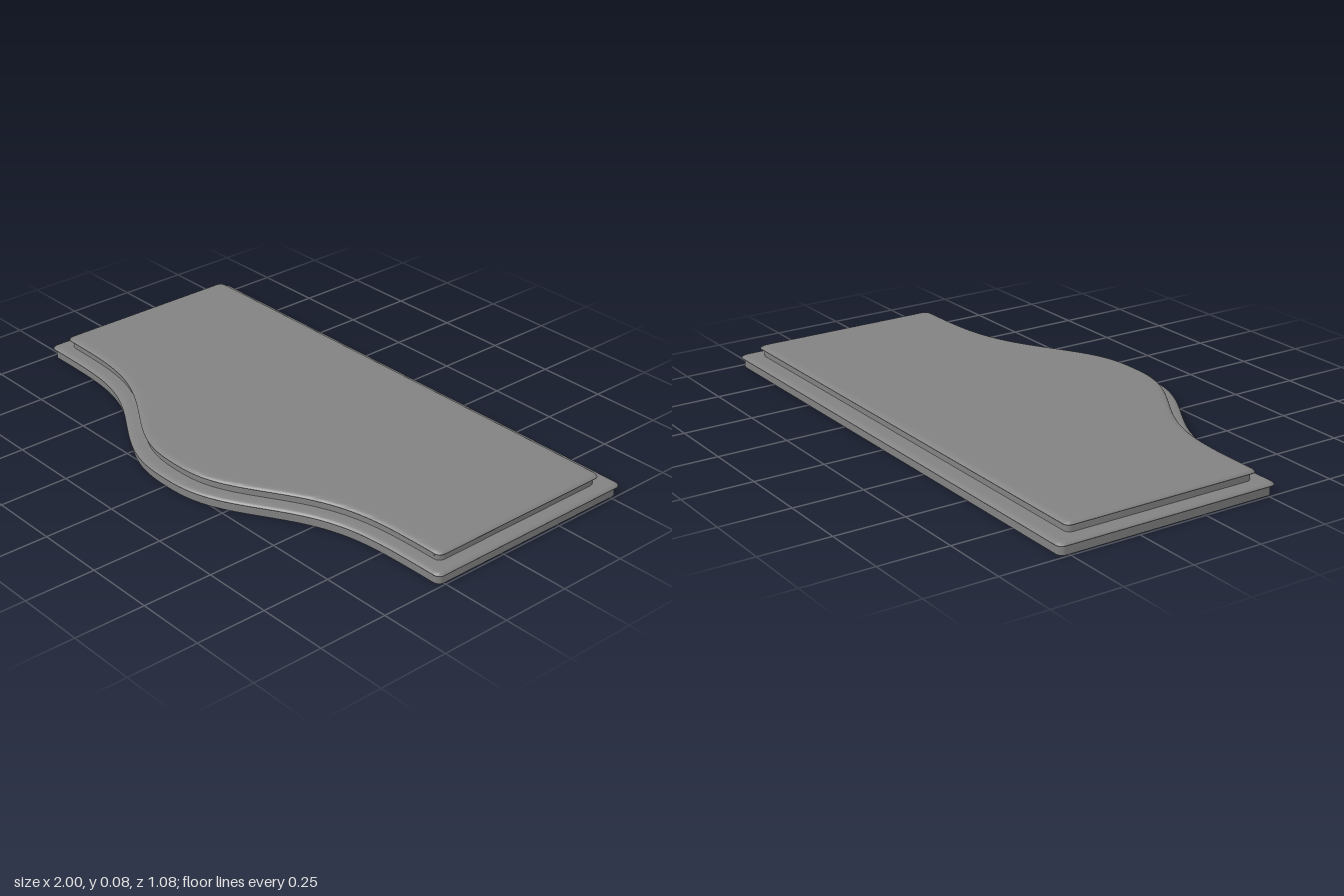
import * as THREE from 'three';
import { toCreasedNormals } from 'three/addons/utils/BufferGeometryUtils.js';

const material = new THREE.MeshStandardMaterial({ color: 0x828282, side: THREE.DoubleSide });

// Bell-shaped bow of the front edge
const bow = x => 0.28 + 0.26 * Math.exp(-Math.pow(Math.abs(x) / 0.432, 2.55));

// Plan outline [x, z], moved inwards by inset (and by backInset more at the rear)
function outline(inset, backInset) {
  const r = 0.022, w = 1 - inset, back = -0.54 + inset + backInset;
  const points = [], steps = 80, e = 0.001;
  for (let i = 0; i <= steps; i++) {
    const x = (w - r) * (2 * i / steps - 1);
    const slope = (bow(x + e) - bow(x - e)) / (2 * e);
    const n = Math.hypot(slope, 1);
    points.push([x + inset * slope / n, bow(x) - inset / n]);
  }
  const corner = (cx, cz, start) => {
    for (let i = 0; i <= 5; i++) {
      const a = start - i / 5 * Math.PI / 2;
      points.push([cx + r * Math.cos(a), cz + r * Math.sin(a)]);
    }
  };
  const front = 0.28 - inset;
  corner(w - r, front - r, Math.PI / 2);
  corner(w - r, back + r, 0);
  corner(-w + r, back + r, -Math.PI / 2);
  corner(-w + r, front - r, Math.PI);
  return points;
}

// Shell swept round the outline; profile entries are [inset, y]
function shell(name, profile, backInset, capped) {
  const rings = profile.map(([inset, y]) =>
    outline(inset, backInset).map(([x, z]) => [x, y, z]));
  const n = rings[0].length, top = rings.length - 1, index = [];
  for (let k = 0; k < top; k++) {
    for (let i = 0; i < n; i++) {
      const j = (i + 1) % n, a = k * n + i, b = k * n + j;
      index.push(a, b, b + n, a, b + n, a + n);
    }
  }
  if (capped) {
    for (const k of [0, top]) {
      const contour = rings[k].map(([x, , z]) => new THREE.Vector2(x, -z));
      for (const [a, b, c] of THREE.ShapeUtils.triangulateShape(contour, []))
        index.push(k * n + a, k * n + (k ? b : c), k * n + (k ? c : b));
    }
  }
  const geometry = new THREE.BufferGeometry();
  geometry.setAttribute('position', new THREE.Float32BufferAttribute(rings.flat(2), 3));
  geometry.setIndex(index);
  const mesh = new THREE.Mesh(toCreasedNormals(geometry, 0.6), material);
  mesh.name = name;
  return mesh;
}

// Closed slab with an overhanging edge that is rounded on top
const slab = (inset, y) => [
  [inset + 0.01, y], [inset, y], [inset, y + 0.002],
  [inset + 0.003, y + 0.006], [inset + 0.009, y + 0.0095],
  [inset + 0.017, y + 0.011], [inset + 0.03, y + 0.011],
];

export function createModel() {
  const group = new THREE.Group();
  group.name = 'bowedDoorsteps';

  // Each step is an open riser wall under a full tread slab
  const steps = [
    { name: 'lower', inset: 0, back: 0, bottom: 0, tread: 0.032, overhang: 0.008 },
    { name: 'upper', inset: 0.043, back: 0.013, bottom: 0.043, tread: 0.069, overhang: 0.01 },
  ];
  for (const { name, inset, back, bottom, tread, overhang } of steps) {
    const wall = inset + overhang;
    group.add(shell(name + 'Riser', [[wall, bottom], [wall, tread]], back, false));
    group.add(shell(name + 'Tread', slab(inset, tread), back, true));
  }
  return group;
}
